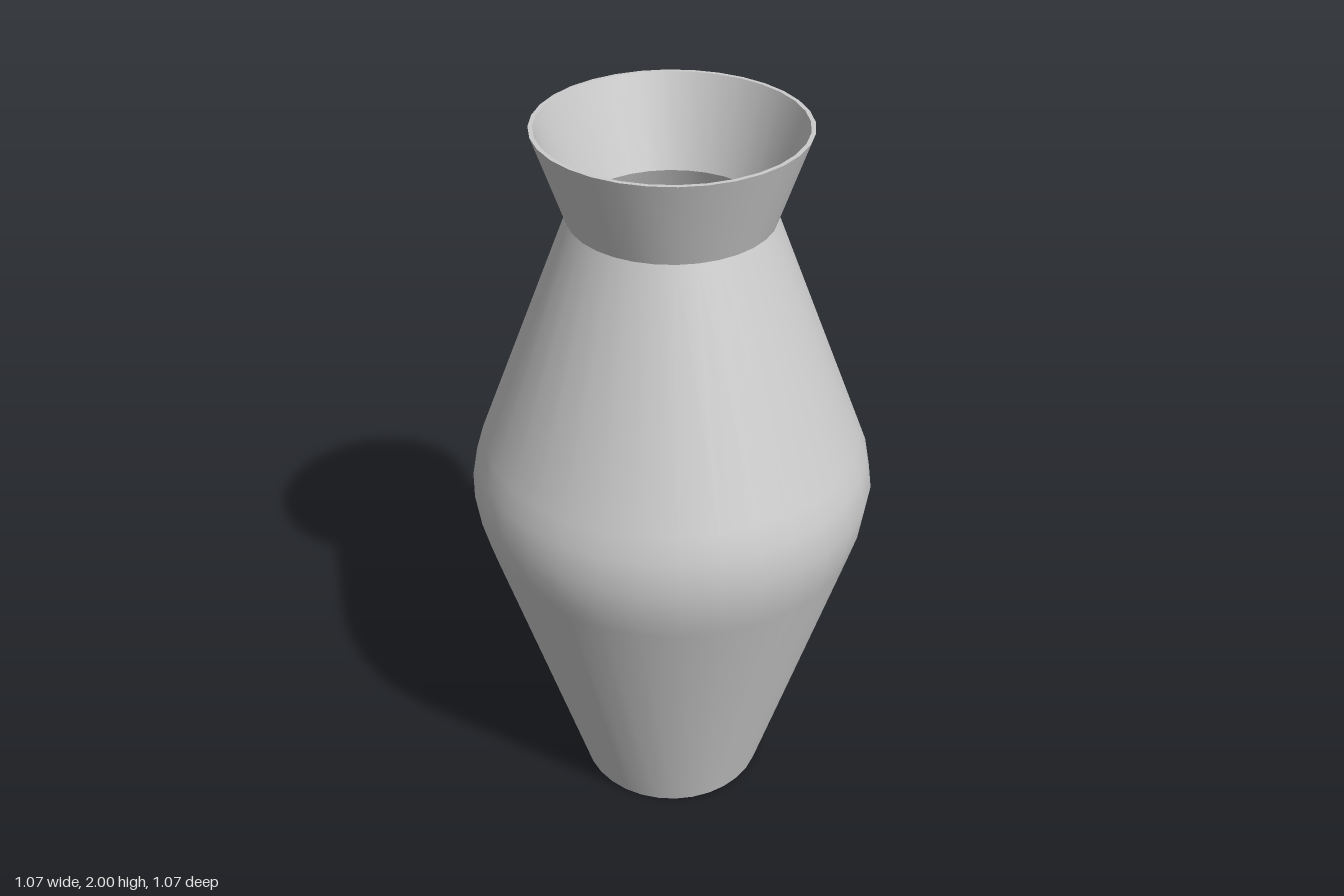
import * as THREE from 'three';

const SIDES = 32;
const material = new THREE.MeshStandardMaterial({ color: 0xcccccc });

// Each section is its own lathe, so edges between sections stay sharp.
function turned(name, profile) {
  const points = profile.map(([r, y]) => new THREE.Vector2(r, y));
  const mesh = new THREE.Mesh(new THREE.LatheGeometry(points, SIDES), material);
  mesh.name = name;
  return mesh;
}

export function createModel() {
  const vase = new THREE.Group();
  vase.name = 'vase';
  const wall = 0.011;

  // Outer profile, bottom to top
  const body = [
    [0.261, 0], [0.505, 0.845], [0.523, 0.91], [0.536, 1.005],
    [0.52, 1.09], [0.497, 1.15], [0.26, 1.767],
  ];
  const collar = [[0.26, 1.767], [0.339, 2]];

  // Inner profile, reversed so that it faces the axis
  const inset = (profile) => profile.map(([r, y]) => [r - wall, Math.max(y, wall)]).reverse();
  const innerBody = inset(body);
  const innerCollar = inset(collar);

  vase.add(
    turned('base', [[0, 0], body[0]]),
    turned('body', body),
    turned('collar', collar),
    turned('rim', [collar[1], innerCollar[0]]),
    turned('collarInside', innerCollar),
    turned('bodyInside', innerBody),
    turned('floorInside', [innerBody[innerBody.length - 1], [0, wall]]),
  );
  return vase;
}
